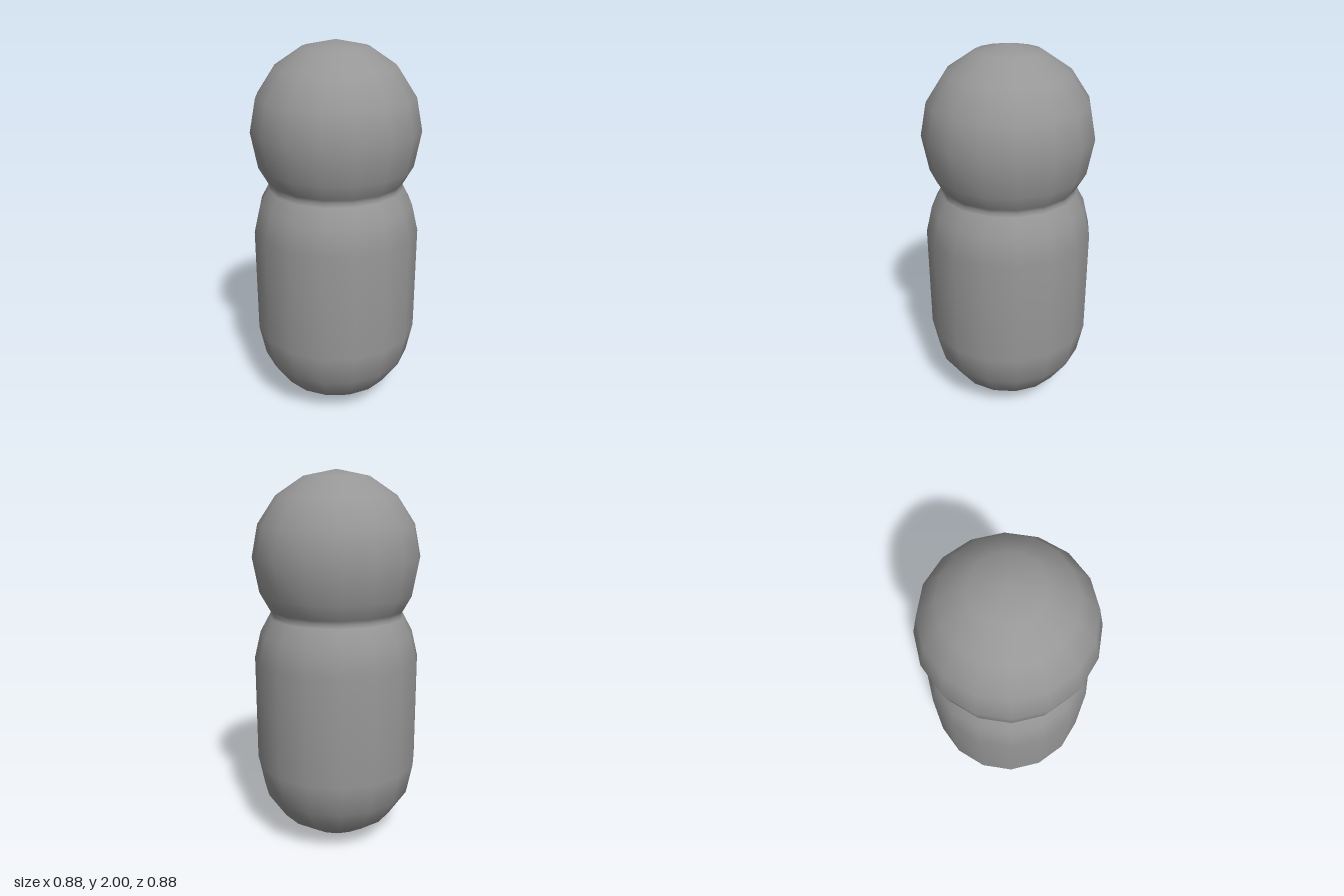
import * as THREE from 'three';

const R = 0.442;      // shared radius of body and head
const SIDES = 16;
const STEP = Math.PI / 8;

// Point on a rounded cap: centre height and latitude step
const cap = (cy, i) => new THREE.Vector2(Math.abs(i) === 4 ? 0 : R * Math.cos(i * STEP), cy + R * Math.sin(i * STEP));

export function createModel() {
  const model = new THREE.Group();
  const profile = [];

  // Rounded base, up to the start of the straight wall
  for (let i = -4; i <= 0; i++) profile.push(cap(R, i));

  // Wall top, shoulder, softened neck crease and underside of head
  for (const [r, y] of [[R, 1.02], [0.408, 1.162], [0.36, 1.25], [0.35, 1.268], [0.362, 1.29], [0.408, 1.372]])
    profile.push(new THREE.Vector2(r, y));

  // Round head
  for (let i = 0; i <= 4; i++) profile.push(cap(2 - R, i));

  const geometry = new THREE.LatheGeometry(profile, SIDES);

  // Smooth the crown and base: normals at both poles point straight up or down
  const { position, normal } = geometry.attributes;
  for (let i = 0; i < position.count; i++)
    if (Math.hypot(position.getX(i), position.getZ(i)) < 1e-6)
      normal.setXYZ(i, 0, position.getY(i) > 1 ? 1 : -1, 0);

  const figure = new THREE.Mesh(geometry, new THREE.MeshStandardMaterial({ color: 0x979797 }));
  figure.name = 'bodyAndHead';
  model.add(figure);
  return model;
}
